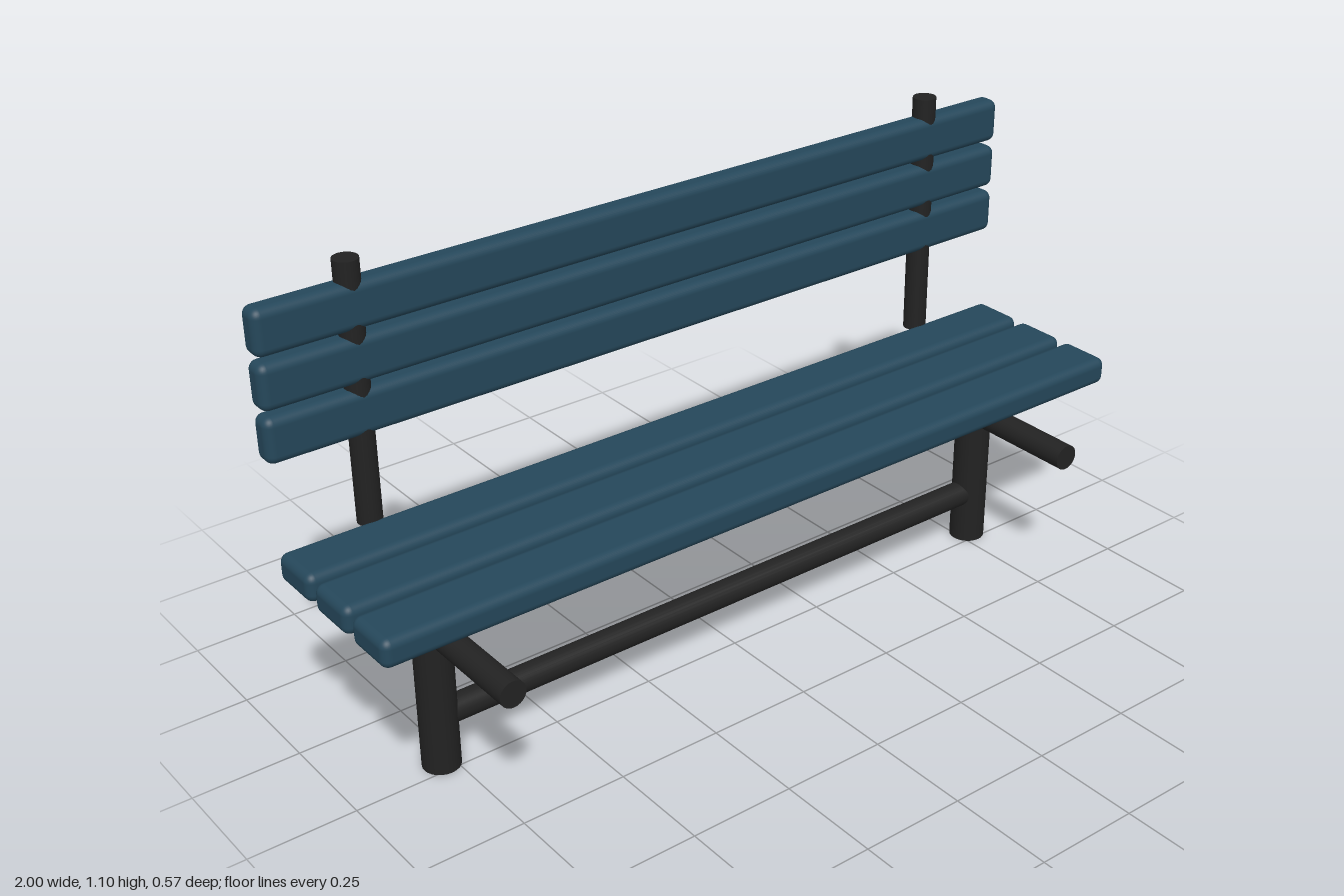
import * as THREE from 'three';
import { RoundedBoxGeometry } from 'three/addons/geometries/RoundedBoxGeometry.js';

export function createModel() {
  const bench = new THREE.Group();
  bench.name = 'bench';

  const paintedWood = new THREE.MeshStandardMaterial({ color: 0x25475a });
  paintedWood.name = 'blue painted wood';
  const metal = new THREE.MeshStandardMaterial({ color: 0x222222 });
  metal.name = 'black metal';

  const slat = (name, height, depth, y, z) => {
    const mesh = new THREE.Mesh(new RoundedBoxGeometry(2, height, depth, 4, 0.02), paintedWood);
    mesh.name = name;
    mesh.position.set(0, y, z);
    bench.add(mesh);
  };

  const tube = (name, radius, length, x, y, z, axis = 'y') => {
    const geometry = new THREE.CylinderGeometry(radius, radius, length, 24);
    if (axis === 'x') geometry.rotateZ(Math.PI / 2);
    if (axis === 'z') geometry.rotateX(Math.PI / 2);
    const mesh = new THREE.Mesh(geometry, metal);
    mesh.name = name;
    mesh.position.set(x, y, z);
    bench.add(mesh);
  };

  // Three seat slats and three backrest slats
  for (let i = 0; i < 3; i++) {
    slat(`seatSlat${i + 1}`, 0.067, 0.13, 0.477, 0.122 - i * 0.15);
    slat(`backSlat${i + 1}`, 0.105, 0.057, 0.764 + i * 0.118, -0.255);
  }

  // Leg, seat support arm and backrest post on each side
  for (const [side, x] of [['left', 0.777], ['right', -0.777]]) {
    tube(`${side}Leg`, 0.043, 0.443, x, 0.2215, -0.03);
    tube(`${side}SupportArm`, 0.031, 0.473, x, 0.352, 0.0465, 'z');
    tube(`${side}BackPost`, 0.028, 0.6, x, 0.8, -0.255);
  }

  // Low bar joining the legs
  tube('stretcher', 0.031, 1.554, 0, 0.127, -0.03, 'x');

  return bench;
}
